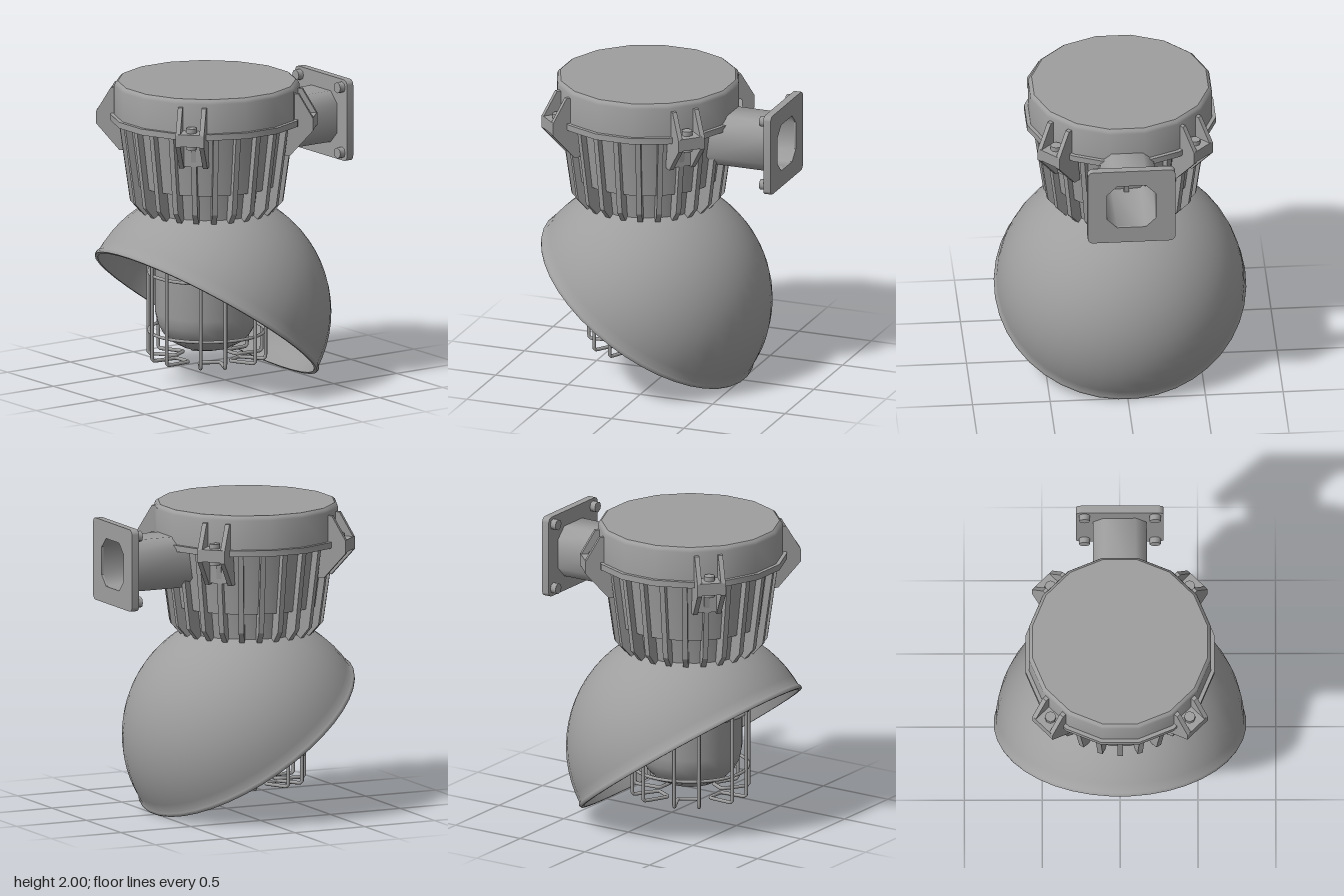
import * as THREE from 'three';
import { toCreasedNormals } from 'three/addons/utils/BufferGeometryUtils.js';

const mat = new THREE.MeshStandardMaterial({ color: 0x9e9e9e });
const V = (x, y, z) => new THREE.Vector3(x, y, z);
const AXIS_Z = 0.145; // main lamp axis

function add(parent, name, geometry, x = 0, y = 0, z = 0) {
  const m = new THREE.Mesh(geometry, mat);
  m.name = name;
  m.position.set(x, y, z);
  parent.add(m);
  return m;
}

// Surface of revolution, profile listed from bottom to top
function lathe(points, sides, crease = 0.5) {
  const g = new THREE.LatheGeometry(points.map(p => new THREE.Vector2(...p)), sides);
  g.rotateY(Math.PI / sides);
  return toCreasedNormals(g, crease);
}

function polygon(points) {
  return new THREE.Shape(points.map(p => new THREE.Vector2(...p)));
}

// Flat plate of given thickness, centred on its own plane
function slab(points, thickness) {
  const g = new THREE.ExtrudeGeometry(polygon(points), { depth: thickness, bevelEnabled: false });
  return g.translate(0, 0, -thickness / 2);
}

// Rectangle with cut corners
function cutRect(w, h, c) {
  return [[w - c, -h], [w, -h + c], [w, h - c], [w - c, h], [-w + c, h], [-w, h - c], [-w, -h + c], [-w + c, -h]];
}

// Tube through straight runs with rounded corners
function wire(points, bend, radius) {
  const path = new THREE.CurvePath();
  let from = points[0];
  for (let i = 1; i < points.length - 1; i++) {
    const p = points[i];
    const a = p.clone().add(points[i - 1].clone().sub(p).setLength(bend));
    const b = p.clone().add(points[i + 1].clone().sub(p).setLength(bend));
    path.add(new THREE.LineCurve3(from, a));
    path.add(new THREE.QuadraticBezierCurve3(a, p, b));
    from = b;
  }
  path.add(new THREE.LineCurve3(from, points[points.length - 1]));
  return new THREE.TubeGeometry(path, 140, radius, 8);
}

function buildHousing(lamp) {
  // Cap with a softly rounded top edge
  add(lamp, 'cap', lathe([
    [0, 1.75], [0.595, 1.75], [0.595, 1.97], [0.588, 1.988], [0.572, 2], [0, 2],
  ], 16, 0.65));
  add(lamp, 'flange', lathe([[0, 1.74], [0.62, 1.74], [0.62, 1.78], [0, 1.78]], 16));
  add(lamp, 'body', lathe([[0, 1.14], [0.4, 1.14], [0.43, 1.34], [0.475, 1.34], [0.53, 1.75], [0, 1.75]], 24));

  const fin = slab([[0.36, 1.14], [0.425, 1.14], [0.495, 1.22], [0.568, 1.745], [0.36, 1.745]], 0.034);
  for (let i = 0; i < 24; i++) {
    add(lamp, 'coolingFin', fin).rotation.y = i * Math.PI / 12;
  }
}

function buildClamp() {
  const clamp = new THREE.Group();
  clamp.name = 'clamp';
  // Side cheeks
  const cheek = slab([[0.5, 1.54], [0.555, 1.54], [0.705, 1.71], [0.705, 1.79], [0.61, 1.95], [0.56, 1.95]], 0.03);
  for (const s of [-1, 1]) add(clamp, 'clampCheek', cheek, 0, 0, s * 0.077);
  // Bridge, boss and bolt
  add(clamp, 'clampBridge', new THREE.BoxGeometry(0.15, 0.08, 0.15), 0.63, 1.755, 0);
  add(clamp, 'clampBoss', new THREE.BoxGeometry(0.12, 0.2, 0.15), 0.485, 1.65, 0);
  const bolt = toCreasedNormals(new THREE.CylinderGeometry(0.036, 0.036, 0.03, 8), 0.9);
  add(clamp, 'clampBolt', bolt, 0.632, 1.81, 0);
  add(clamp, 'clampNut', bolt, 0.632, 1.7, 0);
  return clamp;
}

function buildCage(lamp) {
  // Six U-shaped loops, each two uprights joined by a hook under the globe
  const half = 0.08, out = 0.377, low = 0.182;
  const loop = wire([
    V(-half, 1.12, out), V(-half, low, out), V(-half + 0.012, low, 0.19),
    V(half - 0.012, low, 0.19), V(half, low, out), V(half, 1.12, out),
  ], 0.02, 0.012);
  for (let i = 0; i < 6; i++) add(lamp, 'cageWire', loop).rotation.y = i * Math.PI / 3;
  const ring = new THREE.TorusGeometry(0.373, 0.011, 8, 40).rotateX(Math.PI / 2);
  for (const y of [0.355, 0.74]) add(lamp, 'cageRing', ring, 0, y, 0);
}

function buildReflector(lamp) {
  // Thin hemispherical shell flaring into a small lip
  const inner = [], outer = [];
  for (let i = 0; i <= 16; i++) {
    const a = i / 16 * Math.PI / 2;
    outer.push([0.8 * Math.cos(a), 0.8 * Math.sin(a)]);
    inner.unshift([0.782 * Math.cos(a), 0.782 * Math.sin(a)]);
  }
  const lip = [[0.785, -0.012], [0.806, -0.012], [0.812, 0], [0.807, 0.014], [0.8, 0.025]];
  const shell = [...inner, ...lip, ...outer.slice(1)];
  const reflector = add(lamp, 'reflector', lathe(shell, 40, 1.1), 0, 0.475, 0);
  reflector.rotation.x = -35 * Math.PI / 180;
}

function buildMount(group) {
  const mount = new THREE.Group();
  mount.name = 'wallMount';
  mount.position.y = 1.657;
  group.add(mount);

  // Hollow arm
  const hole = () => new THREE.Path(cutRect(0.158, 0.156, 0.065).map(p => new THREE.Vector2(...p)));
  const arm = polygon(cutRect(0.173, 0.168, 0.07));
  arm.holes.push(hole());
  const armGeo = new THREE.ExtrudeGeometry(arm, { depth: 0.5, bevelEnabled: false });
  add(mount, 'mountArm', toCreasedNormals(armGeo, 0.9), 0, 0, -0.8);

  // Rounded square plate
  const w = 0.282, h = 0.267, r = 0.035, plate = new THREE.Shape();
  plate.absarc(w - r, h - r, r, 0, Math.PI / 2);
  plate.absarc(-w + r, h - r, r, Math.PI / 2, Math.PI);
  plate.absarc(-w + r, -h + r, r, Math.PI, Math.PI * 1.5);
  plate.absarc(w - r, -h + r, r, Math.PI * 1.5, Math.PI * 2);
  plate.holes.push(hole());
  const plateGeo = new THREE.ExtrudeGeometry(plate, { depth: 0.05, bevelEnabled: false, curveSegments: 5 });
  add(mount, 'mountPlate', toCreasedNormals(plateGeo, 0.6), 0, 0, -0.813);

  const bolt = toCreasedNormals(new THREE.CylinderGeometry(0.036, 0.036, 0.04, 8).rotateX(Math.PI / 2), 0.9);
  for (const x of [-0.227, 0.227]) {
    for (const y of [-0.215, 0.215]) add(mount, 'mountBolt', bolt, x, y, -0.745);
  }
}

export function createModel() {
  const group = new THREE.Group();
  group.name = 'floodLamp';
  const lamp = new THREE.Group();
  lamp.name = 'lamp';
  lamp.position.z = AXIS_Z;
  group.add(lamp);

  buildHousing(lamp);
  for (let i = 0; i < 4; i++) {
    const clamp = buildClamp();
    clamp.rotation.y = Math.PI / 4 + i * Math.PI / 2;
    lamp.add(clamp);
  }
  buildReflector(lamp);
  // Glass globe
  add(lamp, 'glassGlobe', lathe([
    [0, 0.228], [0.08, 0.232], [0.16, 0.253], [0.23, 0.29], [0.285, 0.345],
    [0.32, 0.41], [0.333, 0.48], [0.333, 1.16], [0, 1.16],
  ], 24, 0.6));
  buildCage(lamp);
  buildMount(group);
  return group;
}
